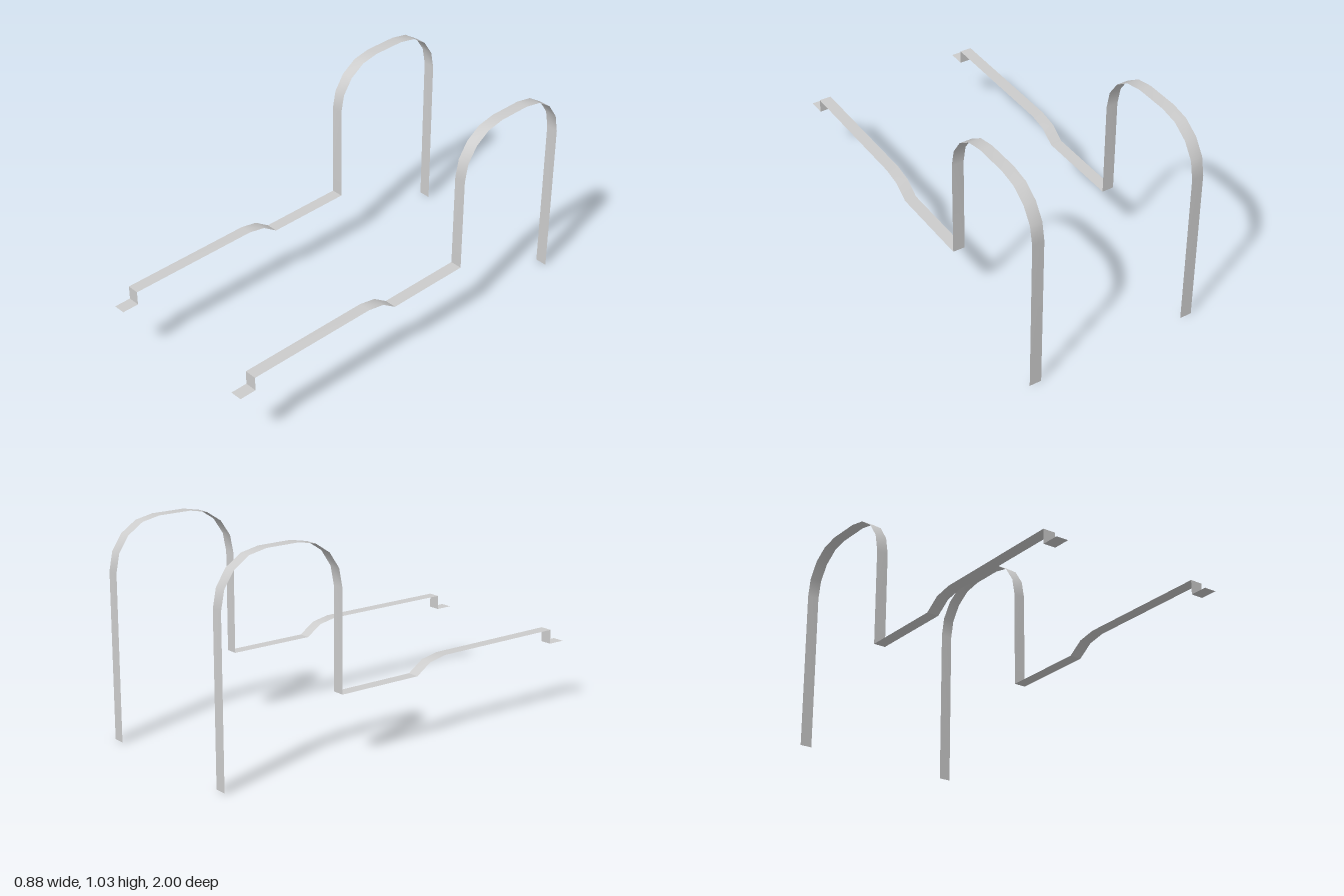
import * as THREE from 'three';

const WIDTH = 0.06;
const RADIUS = 0.234;
const material = new THREE.MeshStandardMaterial({ color: 0xcccccc, side: THREE.DoubleSide });

// Points [z, y] on an arc, angles in degrees, 22.5 degrees per step
function arc(z, y, from, to) {
  const steps = Math.round(Math.abs(to - from) / 22.5);
  return Array.from({ length: steps + 1 }, (_, i) => {
    const a = THREE.MathUtils.degToRad(from + ((to - from) * i) / steps);
    return [z + RADIUS * Math.cos(a), y + RADIUS * Math.sin(a)];
  });
}

// Thin band following a [z, y] path from back to front, smooth along its length
function band(name, path) {
  const geometry = new THREE.PlaneGeometry(WIDTH, 1, 1, path.length - 1);
  const pos = geometry.attributes.position;
  for (let i = 0; i < pos.count; i++) {
    const [z, y] = path[Math.floor(i / 2)];
    pos.setXYZ(i, pos.getX(i), y, z);
  }
  geometry.computeVertexNormals();
  const mesh = new THREE.Mesh(geometry, material);
  mesh.name = name;
  return mesh;
}

function createStrap() {
  const low = 0.31, high = 0.38, back = -1, inner = -0.365, bend = 0.07, front = 0.915;
  const spring = 1.03 - RADIUS;
  const rampEnd = bend + RADIUS * Math.SQRT1_2;
  const strap = new THREE.Group();
  strap.add(
    // Tall rounded hoop: back leg to the ground, shorter front leg
    band('hoop', [
      [back, 0],
      ...arc(back + RADIUS, spring, 180, 90),
      ...arc(inner - RADIUS, spring, 90, 0),
      [inner, low],
    ]),
    band('lowerRail', [[inner, low], [bend, low]]),
    // Curved ramp easing into the raised rail
    band('raisedRail', [[bend, low], ...arc(rampEnd, high - RADIUS, 135, 90).slice(1), [front, high]]),
    band('frontDrop', [[front, high], [front, low]]),
    band('frontFoot', [[front, low], [1, low]]),
  );
  return strap;
}

export function createModel() {
  const model = new THREE.Group();
  model.name = 'strapPair';
  for (const side of [-1, 1]) {
    const strap = createStrap();
    strap.name = side > 0 ? 'leftStrap' : 'rightStrap';
    strap.position.x = side * 0.41;
    model.add(strap);
  }
  return model;
}
